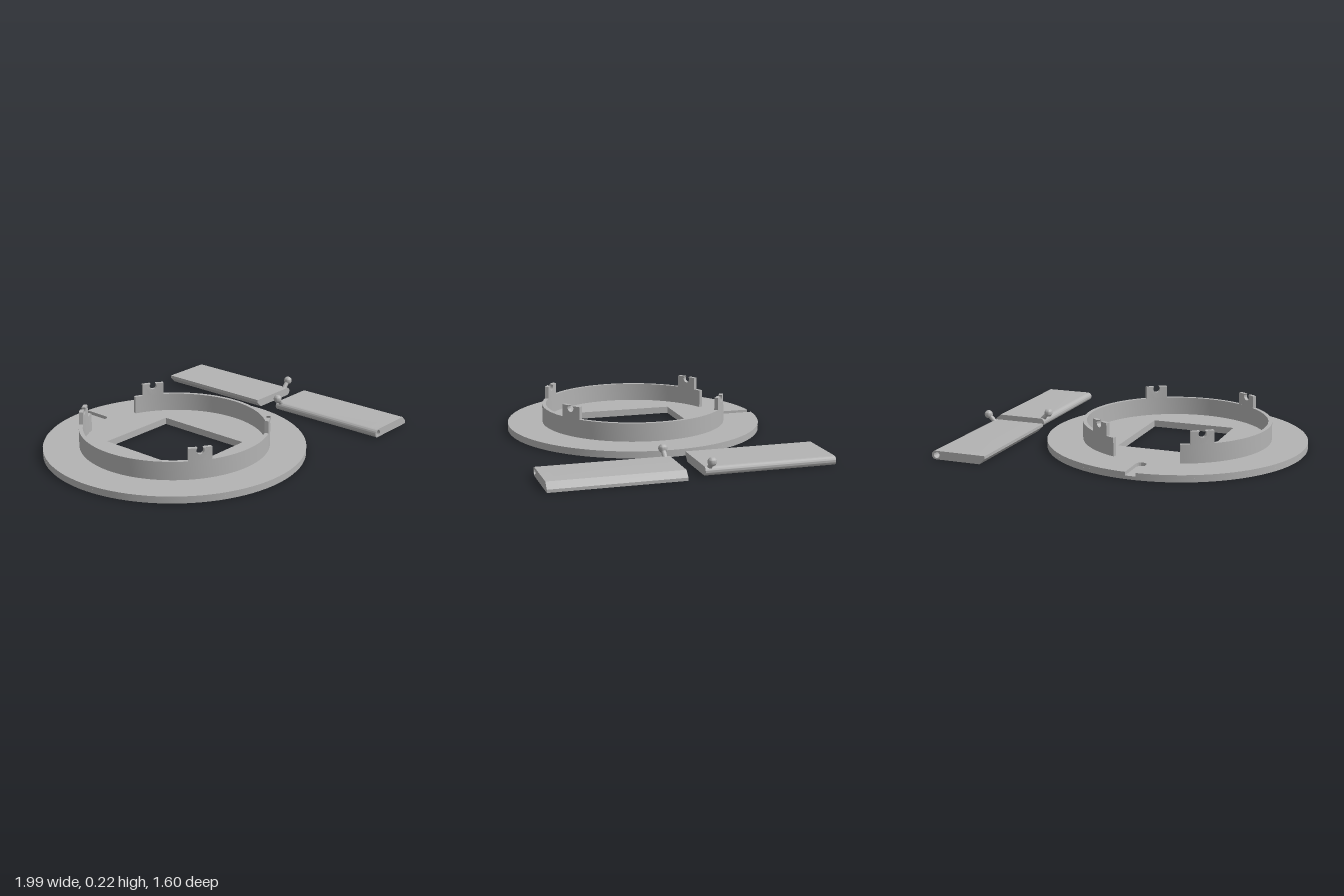
import * as THREE from 'three';
import { toCreasedNormals } from 'three/addons/utils/BufferGeometryUtils.js';

const CX = -0.237, R = 0.763, RING_IN = 0.53, RING_OUT = 0.553;
const grey = new THREE.MeshStandardMaterial({ color: 0xb3b3b3 });
grey.name = 'plain grey';

function mesh(name, geometry) {
  const m = new THREE.Mesh(toCreasedNormals(geometry, 0.5), grey);
  m.name = name;
  return m;
}

function extrude(shape, depth, curveSegments = 48) {
  return new THREE.ExtrudeGeometry(shape, { depth, bevelEnabled: false, curveSegments });
}

// flat plate lying on the ground plane; shape y points to the back
function plate(shape, y, depth) {
  return extrude(shape, depth).rotateX(-Math.PI / 2).translate(0, y, 0);
}

function rectPath(x, y, w, h) {
  return new THREE.Path([[-1, -1], [-1, 1], [1, 1], [1, -1]].map(
    ([a, b]) => new THREE.Vector2(x + a * w / 2, y + b * h / 2)));
}

function base() {
  const g = new THREE.Group();
  g.name = 'basePlate';
  const window = () => rectPath(0, 0, 0.506, 0.604);

  // lower layer with three blind pockets underneath
  const lower = new THREE.Shape().absarc(0, 0, R, 0, Math.PI * 2, false);
  lower.holes.push(window(), rectPath(0.7, 0, 0.035, 0.11),
    rectPath(-0.7, 0, 0.035, 0.11), rectPath(0, -0.7, 0.11, 0.035));
  g.add(mesh('lowerDisc', plate(lower, 0, 0.02)));

  // upper layer with a round-ended groove at the back
  const w = 0.03, half = Math.asin(w / R), top = Math.PI / 2;
  const upper = new THREE.Shape();
  upper.absarc(0, 0, R, top + half, top - half + Math.PI * 2, false);
  upper.lineTo(w, 0.6);
  upper.absarc(0, 0.6, w, 0, Math.PI, true);
  upper.closePath();
  upper.holes.push(window());
  g.add(mesh('upperDisc', plate(upper, 0.02, 0.02)));
  return g;
}

function collar() {
  const g = new THREE.Group();
  g.name = 'collar';
  // wall, open at the back
  const gap = 0.362, a0 = Math.PI / 2 + gap, a1 = Math.PI * 2.5 - gap;
  const wall = new THREE.Shape();
  wall.absarc(0, 0, RING_OUT, a0, a1, false);
  wall.absarc(0, 0, RING_IN, a1, a0, true);
  wall.closePath();
  g.add(mesh('collarWall', plate(wall, 0.04, 0.107)));

  // four curved tabs with a round notch in the top edge
  const hw = 0.066, y0 = 0.147, y1 = 0.22, cy = 0.205, r = 0.022;
  const open = Math.asin((y1 - cy) / r);
  const tab = new THREE.Shape();
  tab.moveTo(-hw, y0);
  for (let i = 1; i <= 6; i++) tab.lineTo(-hw + hw * i / 3, y0);
  tab.lineTo(hw, y1);
  tab.lineTo(0.04, y1);
  tab.absarc(0, cy, r, open, Math.PI - open, true);
  tab.lineTo(-0.04, y1);
  tab.lineTo(-hw, y1);
  const geo = extrude(tab, RING_OUT - RING_IN, 20);
  const p = geo.attributes.position;
  for (let i = 0; i < p.count; i++) {
    const a = p.getX(i) / 0.5415, rad = RING_IN + p.getZ(i);
    p.setXYZ(i, rad * Math.sin(a), p.getY(i), rad * Math.cos(a));
  }
  geo.computeVertexNormals();
  const t = 0.583;
  for (const a of [t, -t, Math.PI - t, Math.PI + t]) {
    const m = mesh('notchedTab', geo);
    m.rotation.y = a;
    g.add(m);
  }
  return g;
}

// flap with a round hinge edge at -x and a slanted edge at +x
function flap(name, slantUp) {
  const g = new THREE.Group();
  g.name = name;
  const r = 0.025, xa = -0.145 + r, xe = 0.19, H = 0.05;
  const profile = () => {
    const s = new THREE.Shape();
    s.moveTo(xa, 0);
    if (slantUp) {
      s.lineTo(xe, 0);
      s.lineTo(xe, 0.017);
      s.lineTo(xe - 0.034, H);
    } else {
      s.lineTo(xe - 0.034, 0);
      s.lineTo(xe, 0.033);
      s.lineTo(xe, H);
    }
    s.lineTo(xa, H);
    s.absarc(xa, r, r, Math.PI / 2, Math.PI * 1.5, false);
    return s;
  };
  g.add(mesh('flapPanel', extrude(profile(), 0.685, 16).translate(0, 0, 0.055)));

  // outer end with the hinge socket
  const end = profile();
  end.holes.push(new THREE.Path().absarc(xa + 0.006, r + 0.001, 0.018, 0, Math.PI * 2, true));
  g.add(mesh('flapSocketEnd', extrude(end, 0.06, 16).translate(0, 0, 0.74)));

  // ball on a slanted stem at the inner end
  const ball = new THREE.Vector3(-0.164, 0.085, 0.083);
  const foot = new THREE.Vector3(xa + 0.005, 0.034, 0.083);
  const dir = ball.clone().sub(foot);
  const stem = mesh('ballStem', new THREE.CylinderGeometry(0.014, 0.014, dir.length(), 24));
  stem.position.copy(ball).add(foot).multiplyScalar(0.5);
  stem.quaternion.setFromUnitVectors(new THREE.Vector3(0, 1, 0), dir.normalize());
  const knob = mesh('ball', new THREE.SphereGeometry(0.025, 28, 18));
  knob.position.copy(ball);
  g.add(stem, knob);
  g.position.x = 0.8;
  return g;
}

export function createModel() {
  const model = new THREE.Group();
  model.name = 'ringBaseWithFlaps';
  const plateGroup = base(), ring = collar();
  plateGroup.position.x = ring.position.x = CX;
  const back = flap('backFlap', false);
  back.rotation.y = Math.PI;
  model.add(plateGroup, ring, flap('frontFlap', true), back);
  return model;
}
